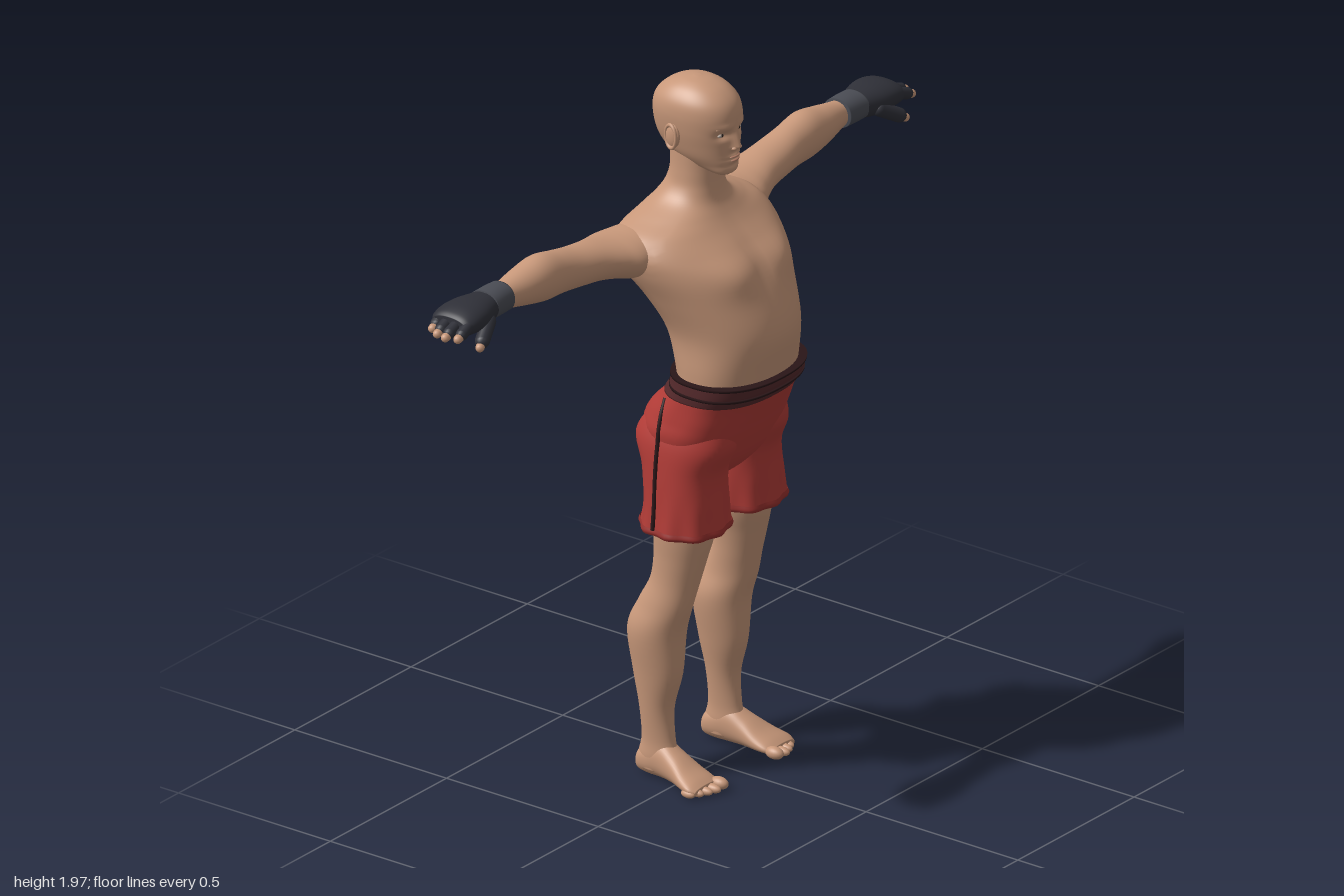
import * as THREE from 'three';

const mat = (name, color, side = THREE.FrontSide) => Object.assign(new THREE.MeshStandardMaterial({ color, side }), { name });
const V = (x, y, z) => new THREE.Vector3(x, y, z);
const bump = (d, w) => Math.exp(-((d / w) ** 2));

// Catmull-Rom refinement of cross-section rows
function refine(rows, k = 6) {
  const out = [];
  for (let i = 0; i < rows.length - 1; i++) {
    const [a, b, c, d] = [-1, 0, 1, 2].map(o => rows[Math.min(rows.length - 1, Math.max(0, i + o))]);
    for (let s = 0; s < k; s++) {
      const t = s / k;
      out.push(b.map((_, j) => {
        const quad = 2 * a[j] - 5 * b[j] + 4 * c[j] - d[j], cubic = 3 * b[j] - a[j] - 3 * c[j] + d[j];
        return 0.5 * (2 * b[j] + (c[j] - a[j]) * t + quad * t * t + cubic * t * t * t);
      }));
    }
  }
  out.push(rows[rows.length - 1]);
  return out;
}

// Loft of rows [t, uMin, uMax, vMin, vMax, uWidest?] rising along an axis.
// (u, v) is (y, z) for axis x, (z, x) for axis y and (x, y) for axis z.
function loft(axis, rows, { n = 2.2, seg = 40, k = 6, caps = true, shape } = {}) {
  const place = { x: (t, u, v) => V(t, u, v), y: (t, u, v) => V(v, t, u), z: (t, u, v) => V(u, v, t) }[axis];
  const dense = refine(rows, k), pos = [], idx = [];
  const pow = v => Math.sign(v) * Math.abs(v) ** (2 / n);
  for (const [t, u0, u1, v0, v1, uc = (u0 + u1) / 2] of dense) {
    for (let j = 0; j < seg; j++) {
      const a = j / seg * Math.PI * 2, c = pow(Math.cos(a)), s = pow(Math.sin(a));
      const p = place(t, uc + c * (c > 0 ? u1 - uc : uc - u0), (v0 + v1) / 2 + s * (v1 - v0) / 2);
      if (shape) shape(p);
      pos.push(p.x, p.y, p.z);
    }
  }
  const at = (i, j) => i * seg + j % seg;
  for (let i = 0; i < dense.length - 1; i++)
    for (let j = 0; j < seg; j++)
      idx.push(at(i, j), at(i, j + 1), at(i + 1, j + 1), at(i, j), at(i + 1, j + 1), at(i + 1, j));
  for (const i of caps ? [0, dense.length - 1] : []) {
    const [t, u0, u1, v0, v1] = dense[i], q = place(t, (u0 + u1) / 2, (v0 + v1) / 2), m = pos.length / 3;
    pos.push(q.x, q.y, q.z);
    for (let j = 0; j < seg; j++) idx.push(m, at(i, i ? j : j + 1), at(i, i ? j + 1 : j));
  }
  const g = new THREE.BufferGeometry();
  g.setAttribute('position', new THREE.Float32BufferAttribute(pos, 3));
  g.setIndex(idx);
  g.computeVertexNormals();
  return g;
}

// Outer x of a y-axis loft at a given height and depth
function sideX(rows, y, z, n) {
  const [, z0, z1, x0, x1, zc] = refine(rows).sort((a, b) => Math.abs(a[0] - y) - Math.abs(b[0] - y))[0];
  const s = Math.min(1, Math.abs((z - zc) / (z > zc ? z1 - zc : zc - z0)));
  return (x0 + x1) / 2 + (x1 - x0) / 2 * (1 - s ** n) ** (1 / n);
}

const ball = (x, y, z, rx, ry, rz) => new THREE.SphereGeometry(1, 20, 14).scale(rx, ry, rz).translate(x, y, z);
function capsule(a, b, r) {
  const d = b.clone().sub(a), g = new THREE.CapsuleGeometry(r, d.length(), 5, 12);
  g.applyQuaternion(new THREE.Quaternion().setFromUnitVectors(V(0, 1, 0), d.normalize()));
  return g.translate((a.x + b.x) / 2, (a.y + b.y) / 2, (a.z + b.z) / 2);
}
function mirrored(geo) {
  const g = geo.clone().scale(-1, 1, 1), ix = g.index.array;
  for (let i = 0; i < ix.length; i += 3) [ix[i], ix[i + 1]] = [ix[i + 1], ix[i]];
  return g;
}

export function createModel() {
  const skin = mat('skin', 0xc8987a), lip = mat('lips', 0xb07c66), eyeWhite = mat('eyeWhite', 0xb9aca2);
  const iris = mat('iris', 0x2c211d), red = mat('shortsRed', 0xb23c37, THREE.DoubleSide);
  const band = mat('waistband', 0x54292b, THREE.DoubleSide), trim = mat('trim', 0x2a1618);
  const hem = mat('hem', 0x97302d, THREE.DoubleSide), glove = mat('glove', 0x2f3038), cuff = mat('cuff', 0x4a4c54);
  const model = new THREE.Group();
  model.name = 'fighter';
  const add = (name, geo, m) => model.add(Object.assign(new THREE.Mesh(geo, m), { name }));
  const pair = (name, geo, m) => {
    add(name + 'Left', geo, m);
    add(name + 'Right', mirrored(geo), m);
  };

  // Torso and neck, with chest muscles, shoulder blades and spine furrow
  add('torso', loft('y', [
    [1.12, -.05, .2, -.183, .183, .07], [1.2, -.06, .215, -.186, .186, .07], [1.3, -.095, .228, -.187, .187, .05],
    [1.4, -.145, .195, -.22, .22, -.01], [1.48, -.18, .15, -.255, .255, -.07], [1.53, -.195, .105, -.265, .265, -.1],
    [1.57, -.195, .065, -.24, .24, -.11], [1.6, -.18, .04, -.175, .175, -.1], [1.63, -.16, .022, -.11, .11, -.08],
    [1.665, -.14, .014, -.079, .079, -.065], [1.71, -.126, .01, -.07, .07, -.06], [1.77, -.126, .005, -.067, .067, -.06],
  ], { seg: 72, shape: p => {
    const ax = Math.abs(p.x);
    if (p.z > -.02) p.z += .02 * bump(ax - .1, .07) * bump(p.y - 1.48, .05) - .006 * bump(p.x, .02) * bump(p.y - 1.48, .08);
    else p.z += .018 * bump(p.x, .035) * bump(p.y - 1.38, .17) - .02 * bump(ax - .17, .07) * bump(p.y - 1.5, .06);
  } }), skin);

  // Head with brow, sockets, nose, lips and chin
  add('head', loft('y', [
    [1.712, .005, .052, -.025, .025, .03], [1.722, -.02, .064, -.04, .04, .02], [1.74, -.07, .068, -.056, .056, -.02],
    [1.765, -.135, .067, -.071, .071, -.04], [1.795, -.165, .068, -.081, .081, -.05], [1.835, -.178, .07, -.09, .09, -.055],
    [1.88, -.18, .071, -.094, .094, -.06], [1.915, -.168, .058, -.088, .088, -.06], [1.943, -.138, .028, -.068, .068, -.06],
    [1.96, -.1, -.01, -.04, .04, -.057], [1.967, -.062, -.048, -.008, .008, -.055],
  ], { seg: 112, k: 9, shape: p => {
    if (p.z < 0) return;
    const ax = Math.abs(p.x), y = p.y, r = (1.855 - y) / .06;
    const nose = r < 0 ? 0 : r < 1 ? r : Math.max(0, 1 - (r - 1) * 5);
    p.z += -.012 * bump(ax - .036, .018) * bump(y - 1.833, .011) + .004 * bump(ax - .03, .025) * bump(y - 1.857, .009)
      + .02 * nose * bump(p.x, .009 + .006 * Math.min(1, Math.max(0, r)))
      + .006 * bump(p.x, .022) * (bump(y - 1.769, .005) + bump(y - 1.756, .005)) - .004 * bump(p.x, .03) * bump(y - 1.742, .006);
  } }), skin);
  pair('eye', ball(.036, 1.833, .049, .013, .0055, .006), eyeWhite);
  pair('iris', ball(.036, 1.833, .0525, .005, .005, .0035), iris);
  pair('browRidge', new THREE.TubeGeometry(new THREE.CatmullRomCurve3(
    [V(.018, 1.853, .067), V(.036, 1.858, .062), V(.056, 1.852, .048)]), 12, .0035, 8), skin);
  add('upperLip', ball(0, 1.768, .067, .021, .0035, .0085), lip);
  add('lowerLip', ball(0, 1.757, .066, .018, .004, .009), lip);
  pair('nostril', ball(.011, 1.793, .072, .007, .006, .009), skin);
  pair('ear', ball(.093, 1.82, -.066, .011, .034, .022), skin);
  pair('earRim', new THREE.TorusGeometry(.024, .0045, 8, 28).scale(.9, 1.35, 1)
    .rotateY(Math.PI / 2 + .25).translate(.101, 1.821, -.067), skin);

  // Arms
  pair('arm', loft('x', [
    [.1, 1.47, 1.57, -.18, -.07], [.18, 1.45, 1.585, -.205, -.03], [.25, 1.458, 1.583, -.225, -.025],
    [.3, 1.472, 1.585, -.217, -.045], [.36, 1.484, 1.593, -.203, -.066], [.43, 1.491, 1.602, -.2, -.077],
    [.5, 1.497, 1.617, -.195, -.085], [.57, 1.499, 1.629, -.2, -.086], [.64, 1.512, 1.617, -.197, -.094],
    [.72, 1.528, 1.602, -.185, -.112], [.78, 1.535, 1.6, -.18, -.115]], { n: 2 }), skin);

  // Gloves: cuff, padded hand, covered knuckles and bare fingertips
  pair('gloveCuff', loft('x', [[.722, 1.527, 1.607, -.193, -.104], [.76, 1.526, 1.608, -.195, -.102],
    [.8, 1.528, 1.606, -.196, -.1]]), cuff);
  pair('gloveHand', loft('x', [[.785, 1.532, 1.602, -.192, -.104], [.82, 1.525, 1.605, -.203, -.093],
    [.86, 1.522, 1.606, -.216, -.084], [.9, 1.525, 1.602, -.22, -.082], [.93, 1.53, 1.593, -.216, -.086],
    [.945, 1.54, 1.583, -.205, -.097]]), glove);
  [[-.198, .955], [-.167, .975], [-.135, .982], [-.103, .97]].forEach(([z, x], i) => {
    pair('gloveFinger' + i, capsule(V(.915, 1.568, z), V(x - .012, 1.553, z + .004), .0165), glove);
    pair('fingertip' + i, capsule(V(x - .02, 1.554, z + .004), V(x + .006, 1.546, z + .005), .012), skin);
  });
  pair('gloveThumb', capsule(V(.84, 1.55, -.1), V(.897, 1.518, -.078), .02), glove);
  pair('thumbTip', capsule(V(.897, 1.518, -.078), V(.915, 1.507, -.072), .012), skin);

  // Shorts: seat, two legs, hems, waistband and side piping
  const seat = [[.85, -.06, .04, -.06, .06, 0], [.88, -.1, .075, -.13, .13, -.01], [.93, -.135, .115, -.185, .185, -.01],
    [1, -.155, .15, -.204, .204, 0], [1.05, -.143, .17, -.2, .2, .03], [1.1, -.098, .19, -.196, .196, .05],
    [1.15, -.062, .213, -.194, .194, .08]];
  add('shortsSeat', loft('y', seat, { n: 2.4, seg: 64, shape: p => {
    if (p.z < -.03) p.z += .025 * bump(p.x, .03) * bump(p.y - .98, .08) - .008 * bump(Math.abs(p.x) - .09, .05) * bump(p.y - 1, .06);
  } }), red);
  const leg = [[.735, -.12, .11, .01, .23, 0], [.8, -.112, .106, .012, .224, 0], [.9, -.122, .105, .012, .216, -.01],
    [.98, -.152, .138, .01, .206, -.005], [1.05, -.11, .13, .02, .185, .02]];
  const ripple = p => {
    const w = Math.max(0, 1 - (p.y - .735) / .12), a = Math.atan2(p.z, p.x - .12);
    p.x += .004 * w * Math.cos(a) * Math.sin(a * 9);
    p.z += .004 * w * Math.sin(a) * Math.sin(a * 9);
  };
  pair('shortsLeg', loft('y', leg, { n: 2.3, seg: 64, caps: false, shape: ripple }), red);
  pair('shortsHem', loft('y', [[.729, -.121, .111, .008, .231, 0], [.737, -.124, .114, .006, .234, 0],
    [.748, -.121, .111, .008, .231, 0]], { n: 2.3, seg: 64, caps: false, shape: ripple }), hem);
  add('waistband', loft('y', [[1.118, -.089, .202, -.198, .198, .06], [1.145, -.07, .217, -.199, .199, .075],
    [1.177, -.064, .226, -.198, .198, .08]], { n: 2.4, seg: 64 }), band);
  [1.142, 1.176].forEach((y, i) => add('waistbandLine' + i, loft('y',
    [[y - .004, -.073 + i * .006, .219 + i * .01, -.2, .2, .075], [y + .004, -.072 + i * .006, .221 + i * .01, -.2, .2, .075]],
    { n: 2.4, seg: 64, k: 2 }), trim));
  const piping = [];
  for (let y = .745; y < 1.12; y += .04) {
    const xLeg = y < 1.02 ? sideX(leg, y, -.03, 2.3) : 0, xSeat = y > .9 ? sideX(seat, y, -.03, 2.4) : 0;
    piping.push(V(Math.max(xLeg, xSeat), y, -.03));
  }
  pair('sidePiping', new THREE.TubeGeometry(new THREE.CatmullRomCurve3(piping), 40, .006, 8), trim);

  // Legs
  pair('leg', loft('y', [
    [.02, -.134, -.03, .108, .176, -.08], [.06, -.134, -.012, .107, .179, -.075], [.11, -.124, -.024, .109, .177, -.075],
    [.2, -.13, -.03, .101, .185, -.08], [.3, -.15, -.006, .085, .196, -.08], [.42, -.165, .002, .07, .21, -.08],
    [.5, -.132, .026, .082, .2, -.05], [.57, -.098, .044, .078, .191, -.025], [.64, -.088, .062, .066, .193, -.01],
    [.72, -.09, .08, .046, .2, -.005], [.84, -.095, .09, .035, .205, 0]], { n: 2 }), skin);

  // Feet and toes
  pair('foot', loft('z', [
    [-.14, .128, .156, .015, .045], [-.128, .112, .17, .004, .07], [-.095, .106, .178, 0, .09], [-.05, .106, .182, 0, .105],
    [0, .106, .195, 0, .082], [.045, .103, .213, 0, .055], [.08, .105, .222, .002, .038], [.1, .115, .212, .006, .026]]), skin);
  [[.119, .107, .018, .028], [.148, .108, .013, .026], [.172, .1, .012, .025], [.194, .09, .0115, .023], [.214, .077, .0115, .022]]
    .forEach(([x, z, r, len], i) => pair('toe' + i, ball(x, r * .95, z, r, r * .95, len), skin));
  return model;
}
